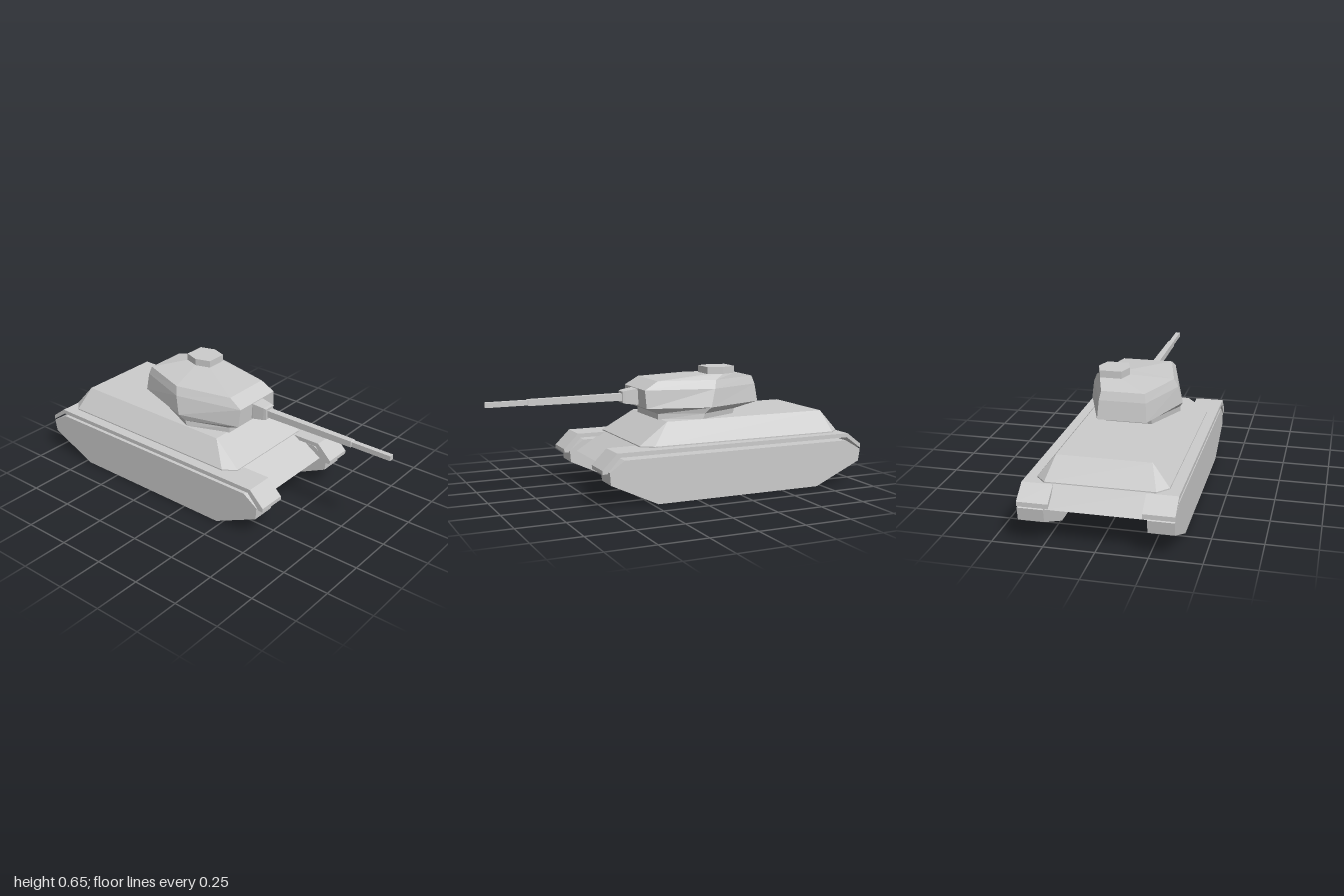
import * as THREE from 'three';

const mat = new THREE.MeshStandardMaterial({ color: 0xcccccc, flatShading: true });

function mesh(name, geo) {
  const m = new THREE.Mesh(geo, mat);
  m.name = name;
  return m;
}

// Faceted solid through equal-length rings of [x, y, z], capped at both ends
function loft(rings) {
  const pos = [];
  const tri = (...pts) => pts.forEach(p => pos.push(...p));
  const n = rings[0].length;
  for (let i = 0; i < rings.length - 1; i++) {
    for (let j = 0; j < n; j++) {
      const k = (j + 1) % n;
      const [a, b, c, d] = [rings[i][j], rings[i][k], rings[i + 1][k], rings[i + 1][j]];
      tri(a, b, c);
      tri(a, c, d);
    }
  }
  const first = rings[0], last = rings[rings.length - 1];
  for (let j = 1; j < n - 1; j++) {
    tri(first[0], first[j + 1], first[j]);
    tri(last[0], last[j], last[j + 1]);
  }
  const g = new THREE.BufferGeometry();
  g.setAttribute('position', new THREE.Float32BufferAttribute(pos, 3));
  g.computeVertexNormals();
  return g;
}

// Horizontal ring from its +x half [x, z] listed front to rear, mirrored about x = cx
function ring(y, half, cx = 0) {
  const right = half.map(([x, z]) => [cx + x, y, z]);
  const left = half.map(([x, z]) => [cx - x, y, z]).reverse();
  return [...right, ...left];
}

// Square ring across the gun axis
const GUN_Y = 0.502;
const square = (z, h) => [[h, -h], [h, h], [-h, h], [-h, -h]].map(([x, y]) => [x, GUN_Y + y, z]);

// Side profile of [z, y] points extruded between two x values
function sideExtrude(profile, x0, x1) {
  const shape = new THREE.Shape(profile.map(p => new THREE.Vector2(...p)));
  const g = new THREE.ExtrudeGeometry(shape, { depth: x1 - x0, bevelEnabled: false });
  return g.rotateY(-Math.PI / 2).translate(x1, 0, 0);
}

export function createModel() {
  const tank = new THREE.Group();
  tank.name = 'tank';

  // Lower hull between the tracks
  tank.add(mesh('lowerHull', sideExtrude([
    [0.30, 0.115], [0.44, 0.18], [0.28, 0.28], [-0.905, 0.28], [-0.978, 0.18], [-0.80, 0.10],
  ], -0.243, 0.243)));

  // Sloped upper hull with clipped corners
  const hullFoot = [[0.27, 0.28], [0.317, 0.215], [0.317, -0.845], [0.265, -0.902]];
  tank.add(mesh('upperHull', loft([
    ring(0.27, hullFoot),
    ring(0.285, hullFoot),
    ring(0.392, [[0.23, 0.11], [0.231, 0.109], [0.231, -0.819], [0.23, -0.82]]),
  ])));

  // Tracks and the bent fenders above them
  const track = [
    [0.22, 0], [0.475, 0.12], [0.48, 0.185], [0.40, 0.24],
    [-0.90, 0.24], [-0.995, 0.185], [-0.985, 0.12], [-0.72, 0],
  ];
  const fender = [
    [0.52, 0.18], [0.52, 0.20], [0.44, 0.279], [-0.91, 0.279], [-0.995, 0.215],
    [-0.995, 0.192], [-0.905, 0.257], [0.425, 0.257], [0.495, 0.18],
  ];
  for (const [side, s] of [['left', 1], ['right', -1]]) {
    const span = (a, b) => (s > 0 ? [a, b] : [-b, -a]);
    tank.add(mesh(side + 'Track', sideExtrude(track, ...span(0.243, 0.37))));
    tank.add(mesh(side + 'Fender', sideExtrude(fender, ...span(0.22, 0.372))));
  }

  // Six-sided turret rising to a pad under the cupola
  const turret = new THREE.Group();
  turret.name = 'turret';
  const pad = [[0.056, -0.16], [0.082, -0.24], [0.056, -0.32]];
  const padX = 0.095;
  turret.add(mesh('turretShell', loft([
    ring(0.39, [[0.14, 0.12], [0.225, -0.10], [0.12, -0.33]]),
    ring(0.42, [[0.14, 0.12], [0.225, -0.11], [0.12, -0.34]]),
    ring(0.452, [[0.152, 0.19], [0.243, -0.14], [0.125, -0.48]]),
    ring(0.547, [[0.14, 0.195], [0.224, -0.17], [0.118, -0.465]]),
    ring(0.591, [[0.133, 0.12], [0.204, -0.185], [0.11, -0.45]]),
    ring(0.617, pad, padX),
  ])));
  turret.add(mesh('cupola', loft([ring(0.605, pad, padX), ring(0.654, pad, padX)])));

  // Gun with a square mantlet and a stepped square barrel
  turret.add(mesh('mantlet', loft([
    square(0.15, 0.042), square(0.20, 0.042), square(0.26, 0.034), square(0.275, 0.03),
  ])));
  turret.add(mesh('barrel', loft([
    square(0.26, 0.019), square(0.78, 0.016), square(0.785, 0.013), square(1.0, 0.013),
  ])));
  tank.add(turret);

  return tank;
}
